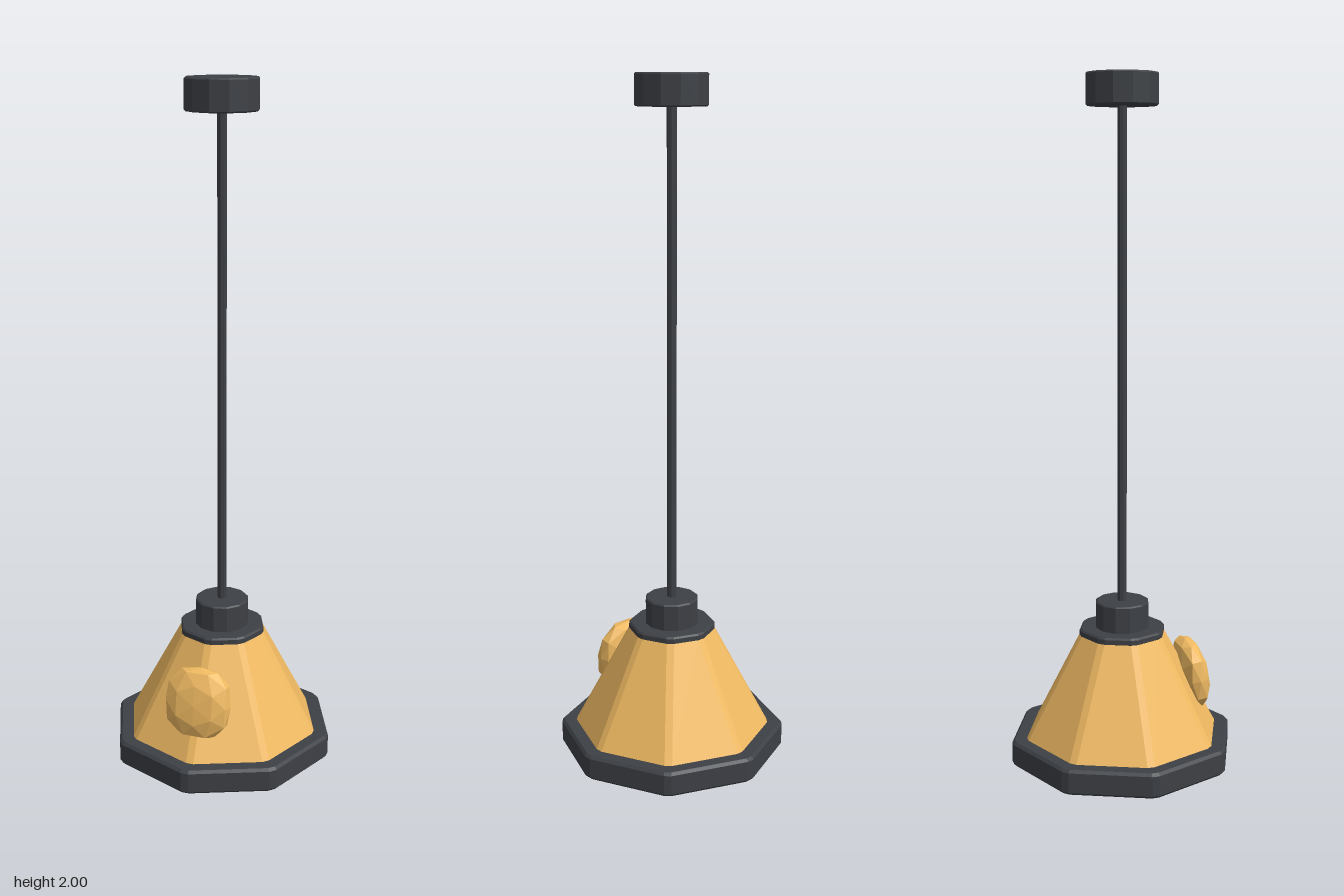
import * as THREE from 'three';

const dark = new THREE.MeshStandardMaterial({ color: 0x3d4045, flatShading: true });
const amber = new THREE.MeshStandardMaterial({ color: 0xf0ba62, flatShading: true });

// Octagon with corners on the axes, each corner cut by a small chamfer
function octagon(r, y, chamfer = 0.011) {
  const points = [];
  for (let i = 0; i < 8; i++) {
    const a = (i * Math.PI) / 4;
    for (const s of [-1, 1]) {
      points.push([
        r * Math.sin(a) + s * chamfer * Math.cos(a), y,
        r * Math.cos(a) - s * chamfer * Math.sin(a),
      ]);
    }
  }
  return points;
}

// Closed solid through octagonal sections, given bottom to top as [radius, height]
function octagonalSolid(sections) {
  const rings = sections.map(([r, y]) => octagon(r, y));
  const n = rings[0].length;
  const positions = rings.flat(2);
  const index = [];
  for (let k = 0; k < rings.length - 1; k++) {
    for (let i = 0; i < n; i++) {
      const j = (i + 1) % n, a = k * n, b = a + n;
      index.push(a + i, a + j, b + j, a + i, b + j, b + i);
    }
  }
  const top = (rings.length - 1) * n;
  for (let i = 1; i < n - 1; i++) {
    index.push(0, i + 1, i, top, top + i, top + i + 1);
  }
  const geometry = new THREE.BufferGeometry();
  geometry.setAttribute('position', new THREE.Float32BufferAttribute(positions, 3));
  geometry.setIndex(index);
  const flat = geometry.toNonIndexed();
  flat.computeVertexNormals();
  return flat;
}

// Cylinder with slightly bevelled edges
function bevelledCylinder(r, y0, y1, sides, b = 0.004) {
  const profile = [[0, y0], [r - b, y0], [r, y0 + b], [r, y1 - b], [r - b, y1], [0, y1]];
  return new THREE.LatheGeometry(profile.map(([x, y]) => new THREE.Vector2(x, y)), sides);
}

// Faceted pebble with a squarish outline and a flattened underside
function pebble() {
  const geometry = new THREE.IcosahedronGeometry(1, 1);
  const p = geometry.attributes.position;
  const v = new THREE.Vector3();
  for (let i = 0; i < p.count; i++) {
    v.fromBufferAttribute(p, i);
    const norm = Math.pow(Math.abs(v.x) ** 2.6 + Math.abs(v.y) ** 2.6 + Math.abs(v.z) ** 2.6, 1 / 2.6);
    v.divideScalar(norm);
    p.setXYZ(i, v.x * 0.1, Math.max(v.y, -0.93) * 0.107, v.z * 0.044);
  }
  geometry.computeVertexNormals();
  return geometry;
}

export function createModel() {
  const model = new THREE.Group();
  const add = (name, geometry, material) => {
    const mesh = new THREE.Mesh(geometry, material);
    mesh.name = name;
    model.add(mesh);
    return mesh;
  };

  // Lamp head
  add('rim', octagonalSolid([[0.328, 0], [0.336, 0.008], [0.336, 0.067], [0.328, 0.075]]), dark);
  add('shade', octagonalSolid([[0.294, 0.07], [0.125, 0.385]]), amber);
  add('collar', octagonalSolid([[0.123, 0.377], [0.128, 0.381], [0.128, 0.395], [0.123, 0.4]]), dark);
  add('socket', bevelledCylinder(0.08, 0.395, 0.48, 12), dark);

  // Hanging rod and ceiling mount
  const rod = add('rod', new THREE.CylinderGeometry(0.014, 0.014, 1.45, 8), dark);
  rod.position.y = 1.195;
  add('ceilingMount', bevelledCylinder(0.105, 1.91, 2, 12), dark);

  // Ornament leaning against the front of the shade
  const ornament = add('ornament', pebble(), amber);
  ornament.position.set(0, 0.235, 0.216);
  ornament.rotation.x = -0.17;

  return model;
}
